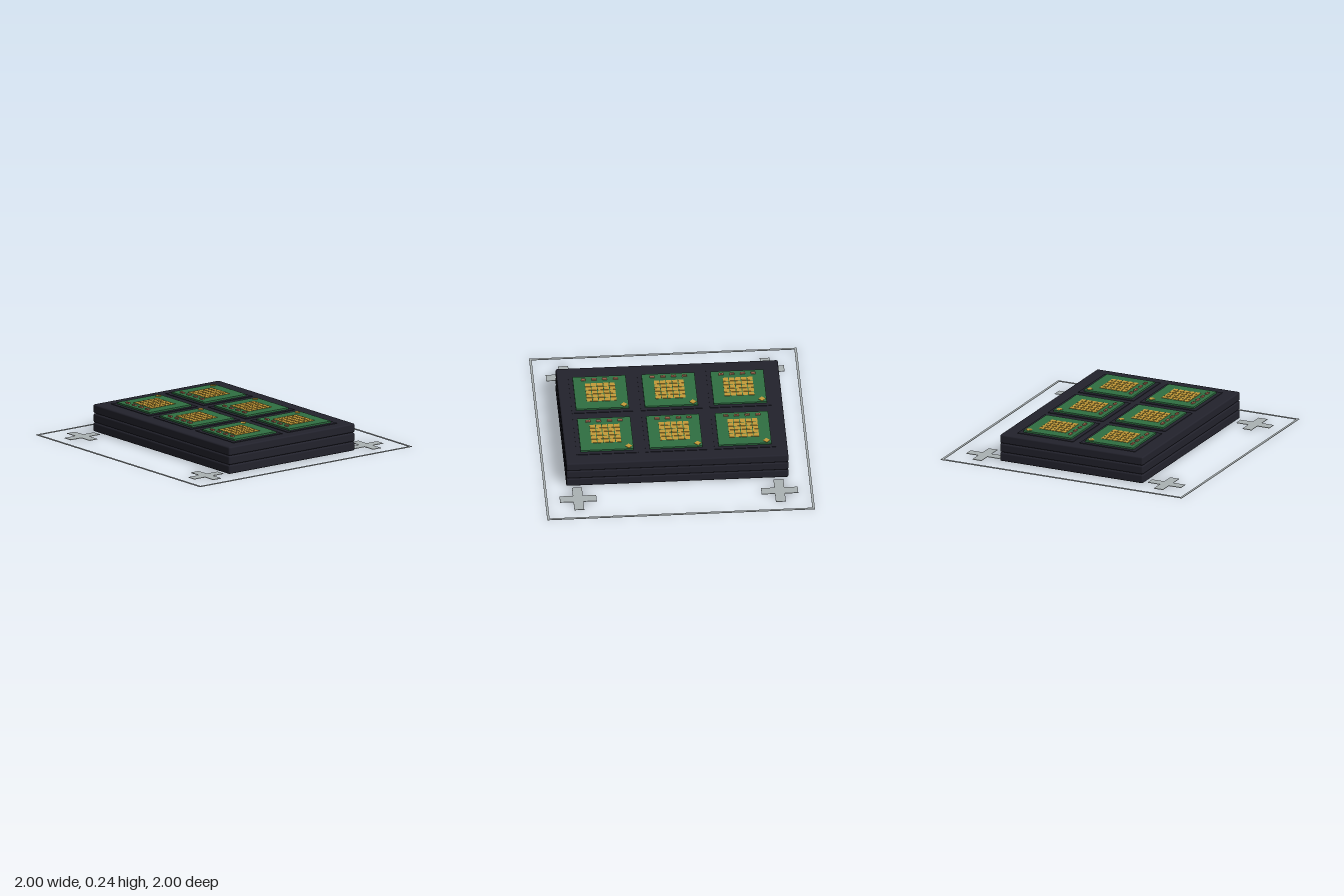
import * as THREE from 'three';
import { RoundedBoxGeometry } from 'three/addons/geometries/RoundedBoxGeometry.js';

const mat = (name, color) => {
  const m = new THREE.MeshStandardMaterial({ color });
  m.name = name;
  return m;
};

function add(parent, name, geometry, material, x = 0, y = 0, z = 0) {
  const mesh = new THREE.Mesh(geometry, material);
  mesh.name = name;
  mesh.position.set(x, y, z);
  parent.add(mesh);
  return mesh;
}

const box = (w, h, d) => new THREE.BoxGeometry(w, h, d);

export function createModel() {
  const model = new THREE.Group();
  model.name = 'chipTrayStack';
  const black = mat('trayBlack', 0x22222c);
  const green = mat('boardGreen', 0x2f6f42);
  const gold = mat('contactGold', 0xc49a38);
  const grey = mat('markerGrey', 0xabb2b3);
  const copper = mat('componentCopper', 0xc07a5e);

  // Three stacked trays with softened edges
  const trayGeo = new RoundedBoxGeometry(1.66, 0.068, 1.186, 2, 0.012);
  for (let i = 0; i < 3; i++) add(model, 'tray' + (i + 1), trayGeo, black, 0, 0.035 + i * 0.07, 0);

  // Thin frame on the ground
  for (const s of [-1, 1]) {
    add(model, 'frameLong', box(2, 0.004, 0.018), grey, 0, 0.002, s * 0.991);
    add(model, 'frameShort', box(0.018, 0.004, 1.964), grey, s * 0.991, 0.002, 0);
  }

  // Alignment crosses at the four corners
  const a = 0.137, b = 0.037;
  const outline = [[-b, -a], [b, -a], [b, -b], [a, -b], [a, b], [b, b],
    [b, a], [-b, a], [-b, b], [-a, b], [-a, -b], [-b, -b]];
  const crossShape = new THREE.Shape(outline.map(([x, y]) => new THREE.Vector2(x, y)));
  const crossGeo = new THREE.ExtrudeGeometry(crossShape, { depth: 0.004, bevelEnabled: false });
  crossGeo.rotateX(-Math.PI / 2);
  for (const x of [-0.753, 0.753])
    for (const z of [-0.753, 0.753]) add(model, 'alignmentCross', crossGeo, grey, x, 0, z);

  // Chip parts, shared by all six chips
  const seatGeo = box(0.46, 0.008, 0.46);
  const boardGeo = box(0.396, 0.016, 0.396);
  const padGeo = box(0.04, 0.004, 0.04);
  const markGeo = box(0.038, 0.004, 0.038);
  const bodyGeo = box(0.018, 0.01, 0.016);
  const endGeo = box(0.009, 0.011, 0.018);

  for (const cz of [-0.257, 0.257]) {
    for (const cx of [-0.515, 0, 0.515]) {
      const chip = new THREE.Group();
      chip.name = 'chip';
      chip.position.set(cx, 0.209, cz);
      model.add(chip);
      add(chip, 'seat', seatGeo, black, 0, 0, 0);
      add(chip, 'board', boardGeo, green, 0, 0.009, 0);

      // Five by five contact grid
      for (let i = -2; i <= 2; i++)
        for (let j = -2; j <= 2; j++) add(chip, 'contact', padGeo, gold, i * 0.0455, 0.018, j * 0.0455);

      // Corner orientation mark
      add(chip, 'cornerMark', markGeo, gold, -0.163, 0.018, -0.165).rotation.y = Math.PI / 4;

      // Row of small surface components along the front edge
      for (let i = 0; i < 4; i++) {
        const x = -0.12 + i * 0.08;
        add(chip, 'component', bodyGeo, copper, x, 0.021, 0.157);
        for (const s of [-1, 1]) add(chip, 'componentEnd', endGeo, copper, x + s * 0.0135, 0.0215, 0.157);
      }
    }
  }
  return model;
}
